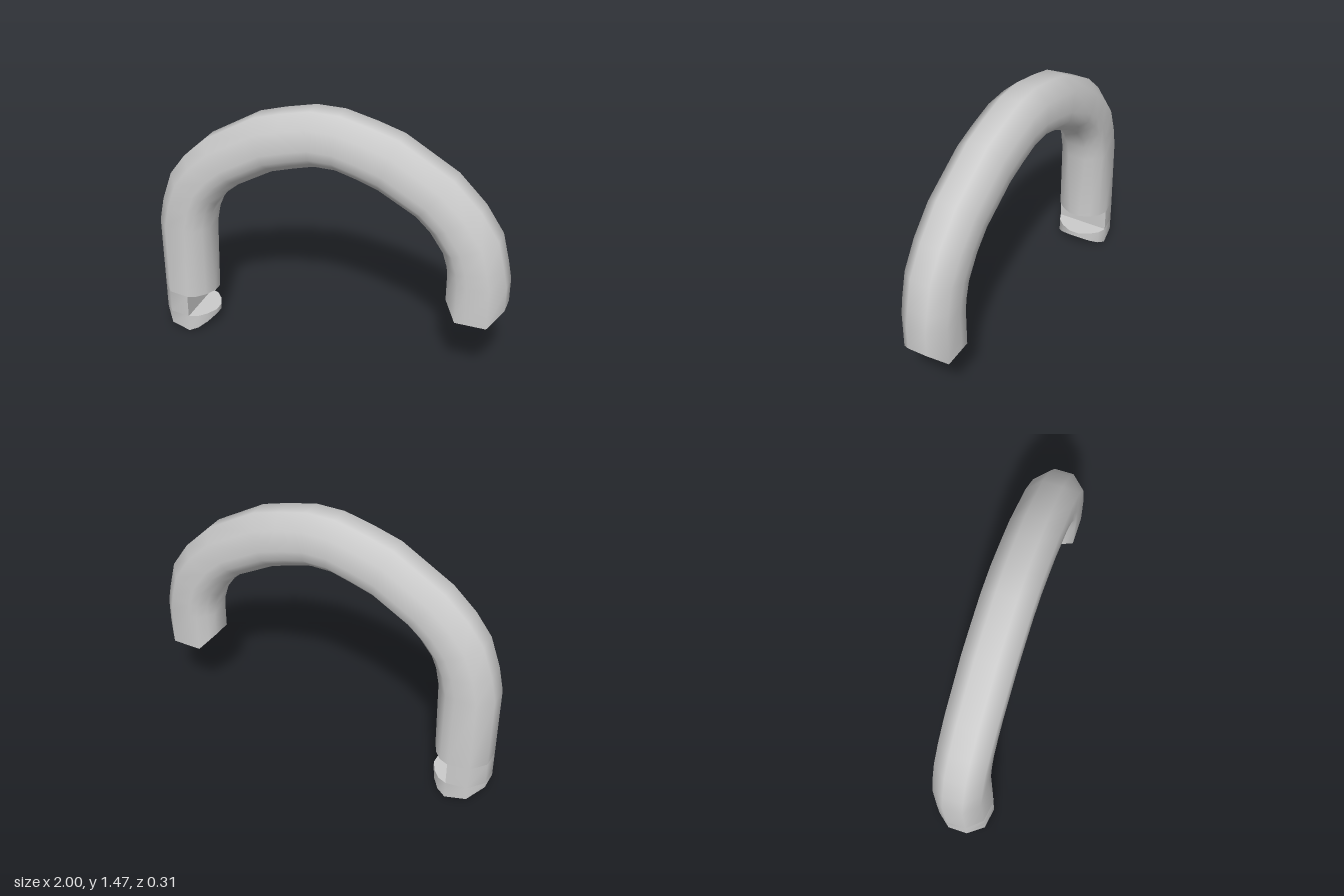
import * as THREE from 'three';
import { toCreasedNormals } from 'three/addons/utils/BufferGeometryUtils.js';

// Cross-section: position from outer edge (0) to inner edge (1), with half depth
const U = [0, 0.23, 0.61, 0.77, 0.9, 1];
const BAR = [0.055, 0.133, 0.133, 0.133, 0.089, 0.055];
const FOOT = [0.055, 0.138, 0.155, 0.135, 0.092, 0.03];
const FLAT = [0, 0, 0, 0, 0, 0];

// One ring: front points from outer to inner, then back points returning
function ring(outer, inner, depth, dy = FLAT, count = U.length) {
  const front = [];
  for (let i = 0; i < count; i++) {
    front.push([
      outer[0] + (inner[0] - outer[0]) * U[i],
      outer[1] + (inner[1] - outer[1]) * U[i] + dy[i],
      depth[i],
    ]);
  }
  return [...front, ...front.map(([x, y, z]) => [x, y, -z]).reverse()];
}

function fromQuads(quads) {
  const pos = [];
  for (const [a, b, c, d] of quads) pos.push(...a, ...b, ...c, ...a, ...c, ...d);
  const g = new THREE.BufferGeometry();
  g.setAttribute('position', new THREE.Float32BufferAttribute(pos, 3));
  g.computeVertexNormals();
  return g;
}

// Smooth skin between successive rings
function loft(rings) {
  const quads = [];
  for (let r = 0; r + 1 < rings.length; r++) {
    const a = rings[r], b = rings[r + 1], n = a.length;
    for (let j = 0; j < n; j++) {
      const k = (j + 1) % n;
      quads.push([a[j], a[k], b[k], b[j]]);
    }
  }
  return toCreasedNormals(fromQuads(quads), 1.05);
}

// Flat-faced cap spanning a ring from front to back
function cap(r, atEnd, start = 0) {
  const quads = [], n = r.length;
  for (let i = start; i + 1 < n / 2; i++) {
    const q = [r[i], r[n - 1 - i], r[n - 2 - i], r[i + 1]];
    quads.push(atEnd ? q.reverse() : q);
  }
  return fromQuads(quads);
}

export function createModel() {
  const group = new THREE.Group();
  const material = new THREE.MeshStandardMaterial({ color: 0xcccccc });
  const add = (name, geometry) => {
    const mesh = new THREE.Mesh(geometry, material);
    mesh.name = name;
    group.add(mesh);
  };

  // Matching points along the outside and inside of the arch
  const outer = [
    [-1, 0.66], [-0.97, 0.8], [-0.91, 0.97], [-0.82, 1.09], [-0.69, 1.21], [-0.4, 1.38],
    [-0.25, 1.425], [-0.08, 1.465], [0.08, 1.465], [0.25, 1.425], [0.4, 1.38], [0.69, 1.21],
    [0.84, 1.06], [0.94, 0.91], [0.98, 0.75], [1, 0.65],
  ];
  const inner = [
    [-0.69, 0.66], [-0.67, 0.76], [-0.64, 0.83], [-0.57, 0.915], [-0.5, 0.975], [-0.3, 1.09],
    [-0.17, 1.13], [-0.06, 1.16], [0.06, 1.16], [0.17, 1.13], [0.29, 1.09], [0.5, 0.975],
    [0.58, 0.9], [0.655, 0.79], [0.68, 0.71], [0.685, 0.65],
  ];

  // Long-leg section at a given height
  const leg = (y, dy, count) => ring([-1, y], [-0.69, y], FOOT, dy, count);
  const notchTop = leg(0.235);
  const notchFloor = leg(0.1);
  const toe = leg(0, [0.07, 0.02, 0, 0.02, 0.045, 0.07]);
  const shortEnd = ring([1, 0.51], [0.685, 0.51], BAR, [0, -0.08, -0.08, -0.08, -0.035, 0]);

  // Curved bar with both legs, down to the notch
  add('shackleBar', loft([notchTop, ...outer.map((o, i) => ring(o, inner[i], BAR)), shortEnd]));
  add('shortLegEnd', cap(shortEnd, true));

  // Locking notch: remaining outer half, with ceiling and floor
  add('notchStem', loft([leg(0.1, FLAT, 3), leg(0.235, FLAT, 3)]));
  add('notchCeiling', cap(notchTop, false, 2));
  add('notchFloor', cap(notchFloor, true, 2));

  // Rounded toe under the notch
  add('toe', loft([toe, notchFloor]));
  add('toeEnd', cap(toe, false));

  return group;
}
